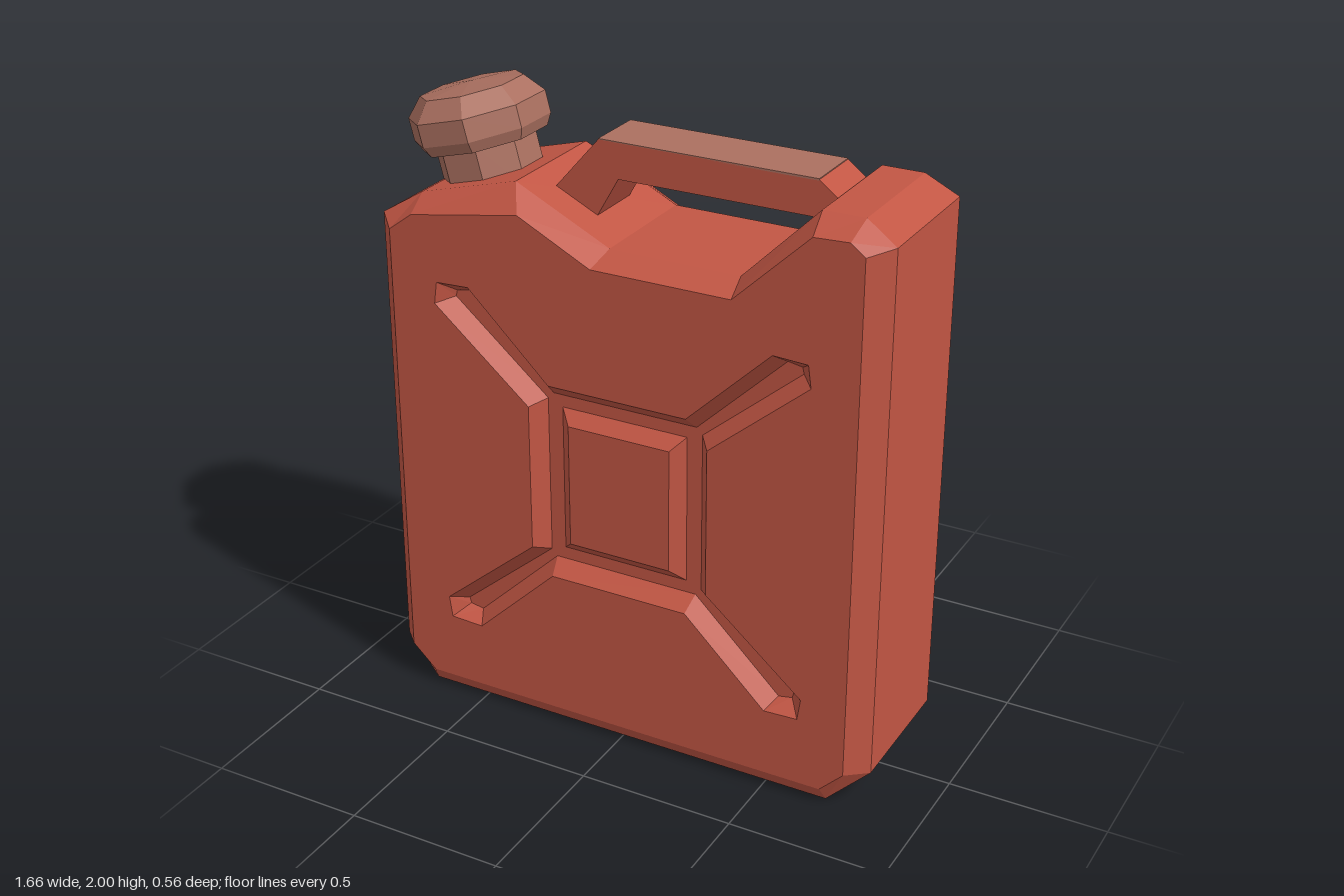
import * as THREE from 'three';

const red = new THREE.MeshStandardMaterial({ color: 0xc25644 });
red.name = 'can red';
const brown = new THREE.MeshStandardMaterial({ color: 0xab7060 });
brown.name = 'cap brown';

const ring = (pts, z) => pts.map(([x, y, pz]) => [x, y, z ?? pz]);

// Flat-faced band between two matching closed rings of [x, y, z]
function loft(a, b) {
  const out = [];
  a.forEach((p, i) => {
    const j = (i + 1) % a.length;
    out.push(...p, ...a[j], ...b[j], ...p, ...b[j], ...b[i]);
  });
  const g = new THREE.BufferGeometry();
  g.setAttribute('position', new THREE.Float32BufferAttribute(out, 3));
  g.computeVertexNormals();
  return g;
}

// Flat polygon facing +z, with an optional hole
function plate(pts, z, hole) {
  const toV = (p) => new THREE.Vector2(p[0], p[1]);
  const shape = new THREE.Shape(pts.map(toV));
  if (hole) shape.holes.push(new THREE.Path(hole.map(toV)));
  return flat(new THREE.ShapeGeometry(shape).translate(0, 0, z));
}

function flat(geometry) {
  const g = geometry.index ? geometry.toNonIndexed() : geometry;
  g.deleteAttribute('uv');
  g.computeVertexNormals();
  return g;
}

// Mirror in z, swapping two corners of each triangle to keep it facing out
function mirrorZ(geometry) {
  const g = geometry.clone();
  const p = g.attributes.position;
  const v = [0, 1, 2].map(() => new THREE.Vector3());
  for (let i = 0; i < p.count; i += 3) {
    v.forEach((q, k) => q.fromBufferAttribute(p, i + k));
    [v[0], v[2], v[1]].forEach((q, k) => p.setXYZ(i + k, q.x, q.y, -q.z));
  }
  g.computeVertexNormals();
  return g;
}

// Mirror one quadrant of an outline (counter-clockwise) to all four
function fourfold(quad, cy) {
  const back = [...quad].reverse();
  return [
    ...quad.map(([x, y]) => [x, cy + y]),
    ...back.map(([x, y]) => [-x, cy + y]),
    ...quad.map(([x, y]) => [-x, cy - y]),
    ...back.map(([x, y]) => [x, cy - y]),
  ];
}

export function createModel() {
  const model = new THREE.Group();
  model.name = 'fuelCan';
  const add = (parent, name, geometry, material) => {
    const mesh = new THREE.Mesh(geometry, material);
    mesh.name = name;
    parent.add(mesh);
    return mesh;
  };

  // Body silhouette with its half depth, and the smaller outline of the faces
  const outer = [
    [-0.7, 0, 0.25], [0.7, 0, 0.25], [0.83, 0.12, 0.22], [0.83, 1.8, 0.22],
    [0.73, 1.86, 0.2], [0.6, 1.86, 0.2], [0.36, 1.62, 0.2], [-0.06, 1.62, 0.2],
    [-0.37, 1.77, 0.2], [-0.7, 1.68, 0.2], [-0.83, 1.6, 0.22], [-0.83, 0.12, 0.22],
  ];
  const inner = [
    [-0.69, 0.05], [0.69, 0.05], [0.765, 0.125], [0.765, 1.78],
    [0.72, 1.815], [0.61, 1.81], [0.37, 1.58], [-0.08, 1.58],
    [-0.32, 1.7], [-0.69, 1.635], [-0.77, 1.575], [-0.77, 0.125],
  ];
  const faceZ = 0.28, floorZ = 0.23, padZ = 0.268, cy = 0.855;

  // Cross-shaped recess and the raised pad in its middle
  const recess = fourfold(
    [[0.3, 0.24], [0.62, 0.51], [0.61, 0.58], [0.5, 0.585], [0.23, 0.325]], cy);
  const floor = fourfold(
    [[0.26, 0.259], [0.575, 0.525], [0.57, 0.545], [0.525, 0.553], [0.241, 0.28]], cy);
  const padBase = fourfold([[0.21, 0.24]], cy);
  const padTop = fourfold([[0.17, 0.2]], cy);

  // Side walls, base and top in one band
  add(model, 'bodyShell', loft(outer.map(([x, y, z]) => [x, y, -z]), outer), red);

  // Front and back faces
  const parts = {
    Bevel: loft(outer, ring(inner, faceZ)),
    Panel: plate(inner, faceZ, recess),
    RecessWall: loft(ring(recess, faceZ), ring(floor, floorZ)),
    RecessFloor: plate(floor, floorZ),
    PadEdge: loft(ring(padBase, floorZ), ring(padTop, padZ)),
    Pad: plate(padTop, padZ),
  };
  for (const side of ['front', 'back']) {
    const group = new THREE.Group();
    group.name = side + 'Face';
    for (const [name, g] of Object.entries(parts)) {
      add(group, side + name, side === 'front' ? g : mirrorZ(g), red);
    }
    model.add(group);
  }

  // Carrying handle with a worn grip on top
  const handle = new THREE.Shape([
    [-0.32, 1.71], [-0.17, 1.65], [-0.09, 1.79], [0.6, 1.79],
    [0.62, 1.84], [0.54, 1.9], [-0.155, 1.9],
  ].map(([x, y]) => new THREE.Vector2(x, y)));
  const handleGeometry = new THREE.ExtrudeGeometry(handle, { depth: 0.19, bevelEnabled: false });
  add(model, 'handle', handleGeometry.translate(0, 0, -0.095), red);
  add(model, 'handleGrip', new THREE.BoxGeometry(0.695, 0.006, 0.19), brown)
    .position.set(0.1925, 1.9, 0);

  // Eight-sided spout and cap, leaning outward; radii measured to the flats
  const spout = new THREE.Group();
  spout.name = 'spout';
  spout.position.set(-0.58, 1.72, 0);
  spout.rotation.z = 0.26;
  const lathe = (pts) => flat(new THREE.LatheGeometry(
    pts.map(([r, y]) => new THREE.Vector2(r / Math.cos(Math.PI / 8), y)), 8, Math.PI / 8));
  add(spout, 'neck', lathe([[0.145, -0.06], [0.145, 0.1]]), brown);
  add(spout, 'cap', lathe(
    [[0, 0.085], [0.18, 0.085], [0.198, 0.12], [0.198, 0.19], [0.15, 0.248], [0, 0.262]]), brown);
  model.add(spout);

  return model;
}
